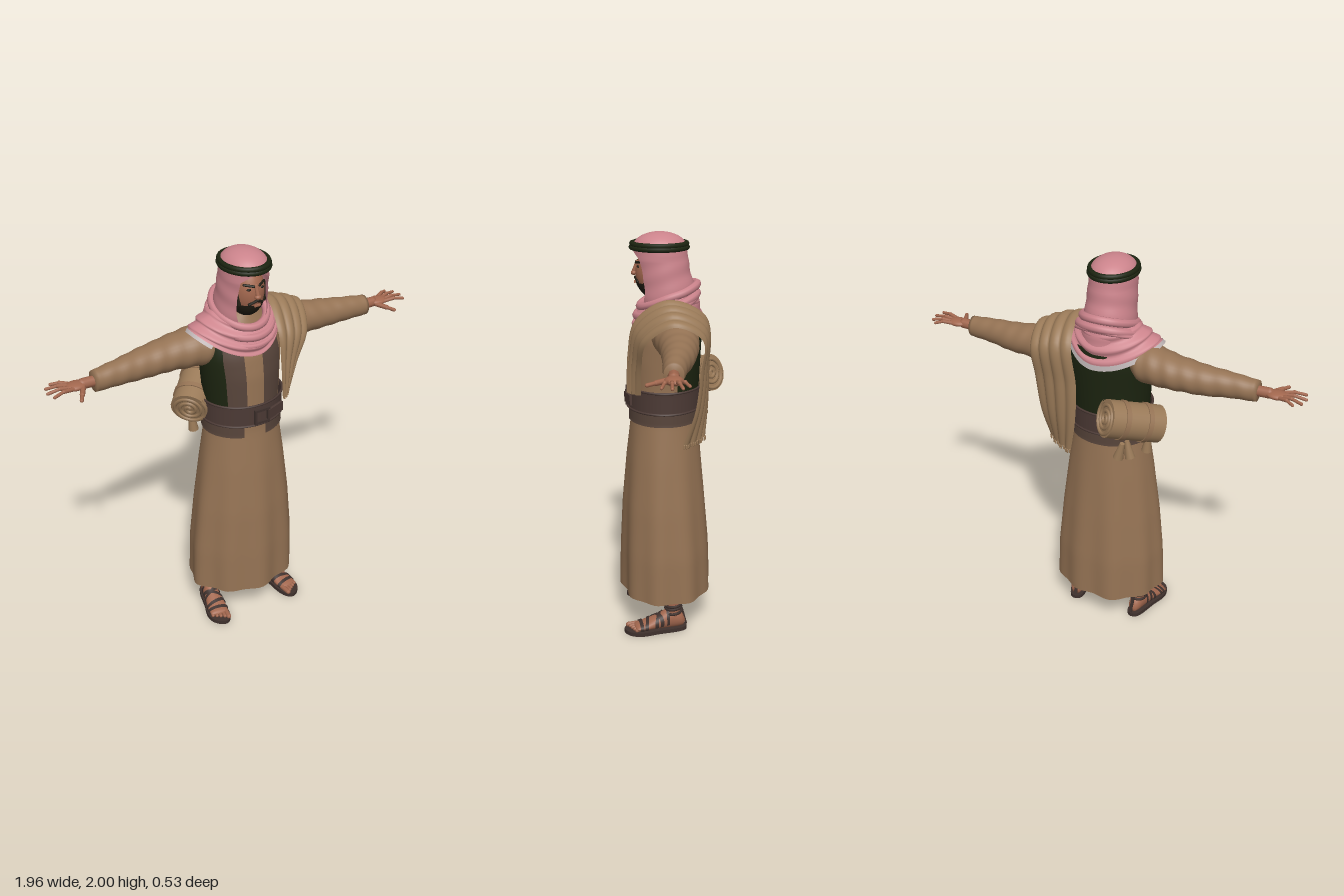
import * as THREE from 'three';
import { mergeVertices } from 'three/addons/utils/BufferGeometryUtils.js';

const V = (x, y, z) => new THREE.Vector3(x, y, z);
const { sin, cos, PI, max, abs } = Math;
const mat = (name, color) => {
  const m = new THREE.MeshStandardMaterial({ color, side: THREE.DoubleSide });
  m.name = name;
  return m;
};
const span = (a, b, n) => Array.from({ length: n + 1 }, (_, i) => a + (b - a) * i / n);

// Linear lookup in rows of [key, ...values]
function sample(rows, k) {
  let i = 0;
  while (i < rows.length - 2 && k > rows[i + 1][0]) i++;
  const t = THREE.MathUtils.clamp((k - rows[i][0]) / (rows[i + 1][0] - rows[i][0]), 0, 1);
  return rows[i].map((v, j) => v + (rows[i + 1][j] - v) * t);
}

// Smooth surface through points fn(u, key), for u over us and key over keys
function loft(us, keys, fn) {
  const pos = [], idx = [], n = us.length;
  for (const k of keys) for (const u of us) pos.push(...fn(u, k));
  for (let j = 0; j < keys.length - 1; j++) for (let i = 0; i < n - 1; i++) {
    const a = j * n + i;
    idx.push(a, a + 1, a + n, a + 1, a + n + 1, a + n);
  }
  const g = new THREE.BufferGeometry();
  g.setAttribute('position', new THREE.Float32BufferAttribute(pos, 3));
  g.setIndex(idx);
  const merged = mergeVertices(g, 1e-5);
  merged.computeVertexNormals();
  return merged;
}

// Body profile: height, half width, front z, back z
const BODY = [[0.18, 0.28, 0.258, -0.194], [0.4, 0.275, 0.255, -0.188], [0.65, 0.252, 0.245, -0.168],
  [0.9, 0.22, 0.225, -0.145], [1.1, 0.19, 0.203, -0.125], [1.25, 0.187, 0.2, -0.125], [1.4, 0.198, 0.196, -0.133],
  [1.5, 0.208, 0.18, -0.138], [1.57, 0.195, 0.155, -0.138], [1.63, 0.15, 0.13, -0.125], [1.7, 0.06, 0.1, -0.06]];
function bodyPoint(a, y, off = 0) {
  const [, rx, zf, zb] = sample(BODY, y);
  const f = max(0, 1.09 - y) / 0.9;
  const o = off + f * (0.009 * cos(9 * a) + 0.005 * cos(5 * a + 1));
  return [(rx + o) * sin(a), y, (zf + zb) / 2 + ((zf - zb) / 2 + o) * cos(a)];
}

// Head cloth: height, half width, front z, back z, half angle of the face opening
const HOOD = [[1.6, 0.135, 0.15, -0.14, 0.3], [1.66, 0.13, 0.155, -0.135, 0.55], [1.72, 0.122, 0.165, -0.115, 0.74],
  [1.8, 0.117, 0.172, -0.09, 0.76], [1.88, 0.112, 0.186, -0.076, 0.72], [1.905, 0.11, 0.188, -0.073, 0.4], [1.93, 0.108, 0.188, -0.07, 0]];
// Sleeve: x, centre y, centre z, radius y, radius z
const SLEEVE = [[0.13, 1.55, 0, 0.06, 0.08], [0.19, 1.537, -0.01, 0.097, 0.108], [0.25, 1.53, -0.02, 0.093, 0.103],
  [0.35, 1.522, -0.03, 0.082, 0.09], [0.5, 1.512, -0.025, 0.072, 0.073], [0.62, 1.51, -0.01, 0.061, 0.057],
  [0.75, 1.505, 0, 0.051, 0.045], [0.751, 1.505, 0, 0.01, 0.01]];
// Foot: z, centre y, half width, half height
const FOOT = [[-0.066, 0.045, 0.005, 0.008], [-0.055, 0.05, 0.024, 0.03], [-0.035, 0.06, 0.034, 0.045], [0.01, 0.068, 0.037, 0.058],
  [0.07, 0.052, 0.041, 0.038], [0.14, 0.038, 0.05, 0.022], [0.19, 0.032, 0.046, 0.013], [0.195, 0.032, 0.01, 0.004]];
const footPoint = (a, z, off = 0) => {
  const [, cy, rx, ry] = sample(FOOT, z);
  return [(rx + off) * sin(a), max(0.018, cy + (ry + off) * cos(a)), z];
};

export function createModel() {
  const model = new THREE.Group();
  const robe = mat('robe tan', 0x957354), shawl = mat('shawl tan', 0x9a7a58), pink = mat('head cloth pink', 0xcb838b);
  const vest = mat('vest brown', 0x57443a), leather = mat('belt leather', 0x4b3934), green = mat('dark green', 0x1c2410);
  const skin = mat('skin', 0xa2674e), hair = mat('hair', 0x211d13), sandal = mat('sandal leather', 0x3f312d), pale = mat('pale edging', 0xb9b0b0);

  const add = (name, geo, m, parent = model, p = [0, 0, 0], r = [0, 0, 0]) => {
    const mesh = new THREE.Mesh(geo, m);
    mesh.name = name;
    mesh.position.set(...p);
    mesh.rotation.set(...r);
    parent.add(mesh);
    return mesh;
  };
  const group = (name, parent = model) => {
    const g = new THREE.Group();
    g.name = name;
    parent.add(g);
    return g;
  };
  // Rounded rod from p to q
  const rod = (name, p, q, r, m, parent) => {
    const a = V(...p), b = V(...q), d = b.clone().sub(a);
    const mesh = add(name, new THREE.CapsuleGeometry(r, d.length(), 4, 8), m, parent);
    mesh.position.copy(a).add(b).multiplyScalar(0.5);
    mesh.quaternion.setFromUnitVectors(V(0, 1, 0), d.normalize());
  };
  const ball = (name, p, s, m, parent, ...arc) => {
    const mesh = add(name, new THREE.SphereGeometry(1, 28, 18, ...arc), m, parent, p);
    mesh.scale.set(...s);
  };
  const round = span(0, 2 * PI, 72);
  // Layer of clothing following the body
  const layer = (name, a0, a1, y0, y1, off, m) =>
    add(name, loft(span(a0, a1, 40), span(y0, y1, 12), (a, y) => bodyPoint(a, y, off)), m);

  // Robe, vest and belt
  add('robe', loft(round, [...span(0.18, 1.1, 24), ...span(1.12, 1.7, 24)], bodyPoint), robe);
  add('robeUnderside', loft(round, [1, 0.5, 0.001], (a, s) => {
    const p = bodyPoint(a, 0.18);
    return [p[0] * s, 0.18 + 0.012 * (1 - s), 0.032 + (p[2] - 0.032) * s];
  }), robe);
  layer('vestFrontRight', -0.82, -0.32, 1.25, 1.57, 0.006, vest);
  layer('vestFrontLeft', 0.13, 0.75, 1.25, 1.57, 0.006, vest);
  layer('vestBack', -0.82, -PI - 1.2, 1.25, 1.6, 0.006, green);
  layer('vestTail', 0.16, 2 * PI - 0.4, 1.09, 1.16, 0.012, vest);
  layer('belt', 0, 2 * PI, 1.15, 1.265, 0.018, leather);
  for (const y of [1.155, 1.26]) {
    const pts = span(0, 2 * PI, 36).slice(0, -1).map(a => V(...bodyPoint(a, y, 0.018)));
    add('beltEdge', new THREE.TubeGeometry(new THREE.CatmullRomCurve3(pts, true), 72, 0.006, 6, true), leather);
  }
  const buckle = group('buckle');
  buckle.position.set(0.005, 1.2, 0.222);
  for (const s of [-1, 1]) {
    add('buckleBar', new THREE.BoxGeometry(0.08, 0.012, 0.014), sandal, buckle, [0, s * 0.033, 0]);
    add('buckleSide', new THREE.BoxGeometry(0.012, 0.078, 0.014), sandal, buckle, [s * 0.036, 0, 0]);
  }
  add('beltTongue', new THREE.BoxGeometry(0.1, 0.05, 0.012), leather, buckle, [0.08, 0.005, -0.008], [0, 0.3, 0.05]);

  // Arms and legs, mirrored
  for (const side of [1, -1]) {
    const arm = group(side > 0 ? 'leftArm' : 'rightArm');
    arm.scale.x = side;
    add('sleeve', loft(span(0, 2 * PI, 32), [...span(0.13, 0.75, 44), 0.751], (a, x) => {
      const [, cy, cz, ry, rz] = sample(SLEEVE, x);
      const w = 1 + (x < 0.74 ? 0.022 * sin(x * 75 + 2 * cos(a)) : 0);
      return [x, cy + ry * w * cos(a), cz + rz * w * sin(a)];
    }), robe, arm);
    rod('wrist', [0.73, 1.506, 0], [0.8, 1.508, 0], 0.026, skin, arm);
    ball('palm', [0.837, 1.508, 0], [0.052, 0.018, 0.04], skin, arm);
    const tips = [[0.93, -0.064], [0.962, -0.036], [0.971, 0.008], [0.957, 0.052]];
    tips.forEach(([x, z], i) => {
      const z0 = -0.027 + i * 0.018, mx = (0.86 + x) / 2, mz = (z0 + z) / 2;
      rod('finger', [0.855, 1.509, z0], [mx, 1.518, mz], 0.0095, skin, arm);
      rod('fingerTip', [mx, 1.518, mz], [x, 1.51, z], 0.0075, skin, arm);
    });
    rod('thumb', [0.81, 1.503, 0.025], [0.838, 1.498, 0.075], 0.012, skin, arm);
    rod('thumbTip', [0.838, 1.498, 0.075], [0.858, 1.494, 0.112], 0.009, skin, arm);

    const leg = group(side > 0 ? 'leftFoot' : 'rightFoot');
    leg.scale.x = side;
    leg.position.x = side * 0.18;
    leg.rotation.y = side * 0.2;
    add('ankle', new THREE.CylinderGeometry(0.042, 0.034, 0.2, 20), skin, leg, [0, 0.18, -0.005]);
    add('foot', loft(span(0, 2 * PI, 28), [-0.066, ...span(-0.055, 0.19, 20), 0.195], footPoint), skin, leg);
    for (let i = 0; i < 5; i++) {
      const x = -0.036 + i * 0.018, r = i ? 0.0095 : 0.013;
      rod('toe', [x, 0.032, 0.175], [x * 1.05, 0.028, 0.222 - i * 0.008], r, skin, leg);
    }
    const sole = new THREE.Shape();
    sole.moveTo(0, 0.075);
    sole.bezierCurveTo(0.06, 0.075, 0.035, -0.04, 0.055, -0.12);
    sole.bezierCurveTo(0.07, -0.2, 0.03, -0.24, -0.015, -0.245);
    sole.bezierCurveTo(-0.06, -0.24, -0.06, -0.17, -0.05, -0.12);
    sole.bezierCurveTo(-0.035, -0.04, -0.06, 0.075, 0, 0.075);
    add('sole', new THREE.ExtrudeGeometry(sole, { depth: 0.02, bevelEnabled: false, curveSegments: 10 }), sandal, leg, [0, 0, 0], [-PI / 2, 0, 0]);
    for (const [z0, z1, skew] of [[0.02, 0.035, 0], [0.06, 0.078, 0.02], [0.07, 0.088, -0.02], [0.12, 0.137, 0.012], [0.155, 0.172, 0]])
      add('strap', loft(span(-2, 2, 20), span(z0, z1, 2), (a, z) => footPoint(a, z + skew * sin(a), 0.005)), sandal, leg);
    for (const [y, r] of [[0.1, 0.041], [0.125, 0.04], [0.14, 0.04]])
      add('ankleStrap', new THREE.TorusGeometry(r, 0.007, 6, 24), sandal, leg, [0, y, -0.005], [PI / 2 + 0.1, 0, 0]);
    add('heelStrap', new THREE.BoxGeometry(0.016, 0.09, 0.008), sandal, leg, [0, 0.07, -0.061], [0.25, 0, 0]);
  }

  // Head
  const head = group('head');
  const C = [0, 1.81, 0.075];
  add('neck', new THREE.CylinderGeometry(0.055, 0.065, 0.16, 20), skin, head, [0, 1.66, 0.04]);
  ball('face', C, [0.082, 0.125, 0.1], skin, head);
  ball('beard', C, [0.086, 0.131, 0.106], hair, head, 0, 2 * PI, PI * 0.62, PI * 0.38);
  rod('noseBridge', [0, 1.855, 0.165], [0, 1.812, 0.182], 0.01, skin, head);
  ball('noseTip', [0, 1.805, 0.182], [0.016, 0.012, 0.014], skin, head);
  add('mouth', new THREE.BoxGeometry(0.032, 0.009, 0.008), skin, head, [0, 1.762, 0.177]);
  for (const s of [-1, 1]) {
    rod('moustache', [s * 0.004, 1.784, 0.175], [s * 0.034, 1.768, 0.163], 0.007, hair, head);
    rod('sideburn', [s * 0.072, 1.84, 0.112], [s * 0.066, 1.76, 0.127], 0.01, hair, head);
    rod('eyebrow', [s * 0.015, 1.856, 0.171], [s * 0.053, 1.863, 0.147], 0.006, hair, head);
    ball('eye', [s * 0.033, 1.84, 0.16], [0.013, 0.006, 0.007], hair, head);
  }

  // Head cloth, headband and cape over the shoulders
  const cloth = group('headCloth');
  ball('crown', [0, 1.925, 0.058], [0.109, 0.075, 0.13], pink, cloth, 0, 2 * PI, 0, PI / 2);
  add('hood', loft(span(0, 1, 48), span(1.6, 1.93, 26), (u, y) => {
    const [, rx, zf, zb, open] = sample(HOOD, y);
    const a = open + u * 2 * (PI - open), w = 1 + 0.012 * sin(y * 70 + 3 * cos(a)) * (y < 1.88);
    return [rx * w * sin(a), y, (zf + zb) / 2 + (zf - zb) / 2 * w * cos(a)];
  }), pink, cloth);
  for (const [y, k] of [[1.928, 1], [1.945, 0.98]]) {
    const band = add('headband', new THREE.TorusGeometry(0.109 * k, 0.0125, 8, 40), green, cloth, [0, y, 0.06], [PI / 2, 0, 0]);
    band.scale.set(1, 1.2, 1);
  }
  const cape = (a, t) => {
    const s = sin(a), c = cos(a), w = 0.008 * sin(t * 17 + 2 * c) * (t < 0.95);
    const rx = s < 0 ? 0.26 : 0.19, yEnd = c > 0 ? 1.63 - 0.115 * c * c : 1.63 - 0.1 * c * c;
    const x0 = 0.12 * s, y0 = 1.71 - 0.055 * max(0, c), z0 = 0.025 + 0.135 * c;
    const x1 = rx * s, z1 = 0.018 + 0.175 * c, o = Math.pow(t, 0.75);
    return [x0 + (x1 - x0) * o + w * s, y0 + (yEnd - y0) * t, z0 + (z1 - z0) * o + w * c];
  };
  add('cape', loft(round, span(0, 1, 20), cape), pink, cloth);
  add('capeEdging', loft(span(-0.9, -PI - 0.9, 40), span(0.96, 1.1, 4), (a, t) => {
    const p = cape(a, t);
    return [p[0] + 0.004 * sin(a), p[1], p[2] + 0.004 * cos(a)];
  }), pale, cloth);
  for (const [y, zf, rx, r, up] of [[1.6, 0.172, 0.15, 0.02, 0.06], [1.645, 0.155, 0.125, 0.02, 0.06], [1.56, 0.182, 0.17, 0.013, 0.075]]) {
    const pts = span(0, 2 * PI, 12).slice(0, -1).map(a =>
      V(rx * sin(a), y + up * (1 - cos(a)) * (cos(a) > 0 ? 1 : 0.9), (zf - 0.12) / 2 + (zf + 0.12) / 2 * cos(a)));
    add('neckFold', new THREE.TubeGeometry(new THREE.CatmullRomCurve3(pts, true), 60, r, 8, true), pink, cloth);
  }

  // Folded shawl over the left shoulder, from the belt in front to the hips behind
  const drape = group('shawl');
  const curve = pts => new THREE.CatmullRomCurve3(pts.map(p => V(...p)));
  const inner = curve([[0.13, 1.25, 0.21], [0.12, 1.45, 0.203], [0.12, 1.6, 0.17], [0.145, 1.7, 0.02],
    [0.12, 1.62, -0.15], [0.09, 1.4, -0.165], [0.1, 1.2, -0.165], [0.13, 1.03, -0.155]]);
  const outer = curve([[0.19, 1.25, 0.15], [0.245, 1.4, 0.145], [0.32, 1.53, 0.12], [0.365, 1.62, -0.01],
    [0.345, 1.55, -0.14], [0.33, 1.4, -0.13], [0.315, 1.2, -0.105], [0.29, 1.03, -0.05]]);
  const shawlPoint = (v, t) => {
    const p = inner.getPoint(t).lerp(outer.getPoint(t), v);
    const out = V(p.x - 0.12, max(0, p.y - 1.45) * 1.2, p.z * 1.4).normalize();
    return p.addScaledVector(out, 0.012 * abs(sin(v * PI * 4)) + 0.012 * sin(v * PI));
  };
  add('shawlCloth', loft(span(0, 1, 40), span(0, 1, 56), (v, t) => shawlPoint(v, t).toArray()), shawl, drape);
  for (const v of span(0.03, 0.97, 15)) {
    const p = shawlPoint(v, 1);
    rod('fringe', p.toArray(), [p.x, p.y - 0.014, p.z], 0.0045, shawl, drape);
  }

  // Bedroll slung at the back right
  const roll = group('bedroll');
  const a = V(-0.08, 1.29, -0.195), b = V(-0.265, 1.205, -0.005), len = a.distanceTo(b);
  roll.position.copy(a).add(b).multiplyScalar(0.5);
  roll.quaternion.setFromUnitVectors(V(0, 1, 0), b.clone().sub(a).normalize());
  add('rollBody', new THREE.CylinderGeometry(0.092, 0.092, len, 32), shawl, roll);
  const spiral = new THREE.CatmullRomCurve3(span(0, 6 * PI, 48).map(t => V((0.088 - t * 0.0043) * cos(t), 0, (0.088 - t * 0.0043) * sin(t))));
  for (const s of [-1, 1]) {
    add('rollSpiral', new THREE.TubeGeometry(spiral, 120, 0.0095, 6), shawl, roll, [0, s * len / 2, 0]);
    add('rollStrap', new THREE.CylinderGeometry(0.097, 0.097, 0.024, 32), robe, roll, [0, s * 0.06, 0]);
  }
  for (const [x, z, tilt] of [[-0.14, -0.16, 0.25], [-0.17, -0.13, -0.2], [-0.23, -0.04, 0.1]])
    add('rollTie', new THREE.CylinderGeometry(0.012, 0.026, 0.09, 10), shawl, model, [x, 1.105, z], [0, 0, tilt]);
  return model;
}
